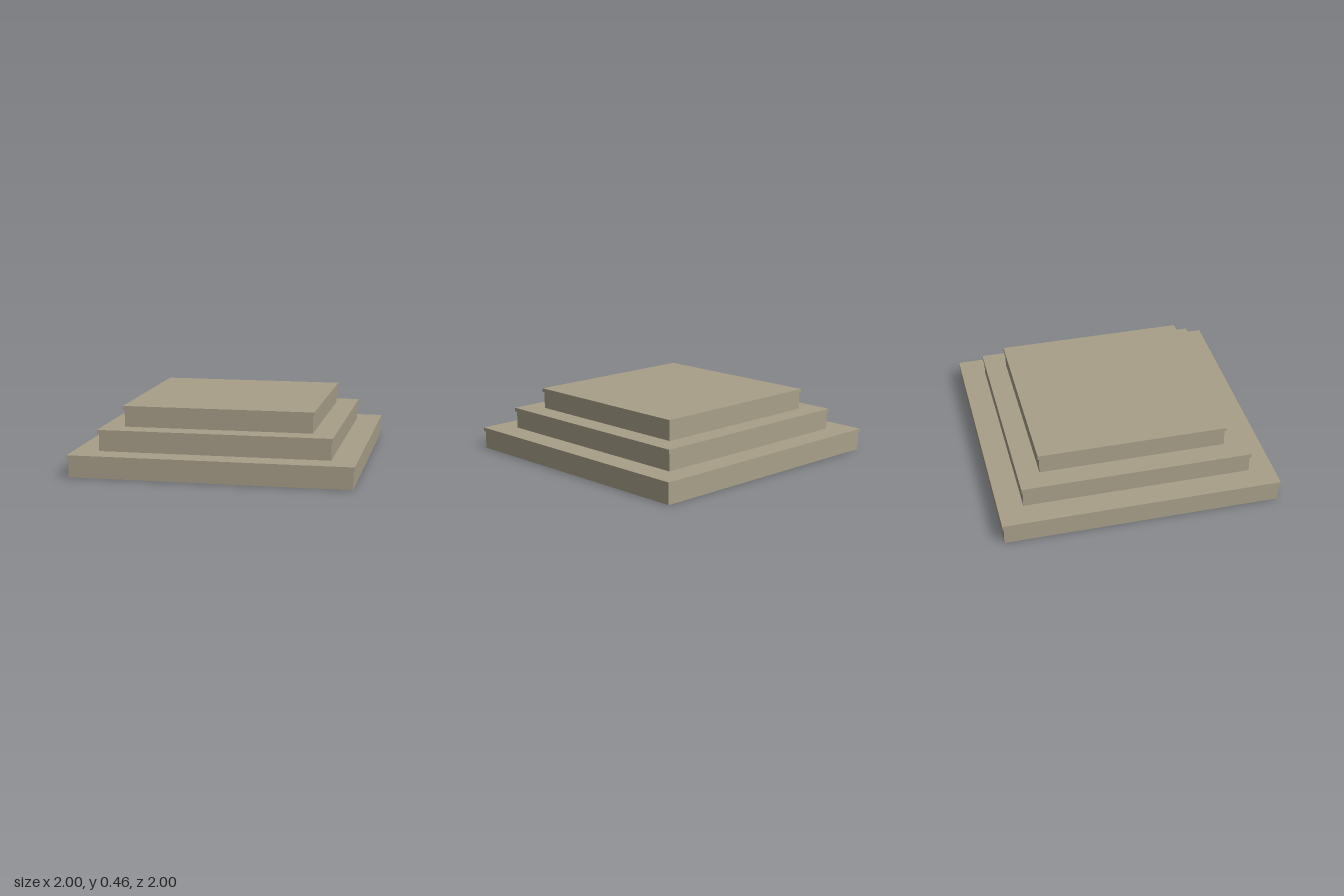
import * as THREE from 'three';

export function createModel() {
  const model = new THREE.Group();
  model.name = 'steppedPlinth';
  const stone = new THREE.MeshStandardMaterial({ color: 0xa89f89 });
  stone.name = 'sandy stone';

  // Square slab standing on height y
  function slab(name, halfWidth, y, height, parent) {
    const geometry = new THREE.BoxGeometry(halfWidth * 2, height, halfWidth * 2);
    const mesh = new THREE.Mesh(geometry, stone);
    mesh.name = name;
    mesh.position.y = y + height / 2;
    parent.add(mesh);
  }

  // Three steps, each a block with a thin overhanging tread
  const stepHeight = 0.153;
  const treadHeight = 0.028;
  const steps = [
    { name: 'lowerStep', half: 1, bottom: 0, top: 0.158 },
    { name: 'middleStep', half: 0.83, bottom: 0.158, top: 0.158 + stepHeight },
    { name: 'upperStep', half: 0.682, bottom: 0.158 + stepHeight, top: 0.158 + 2 * stepHeight - 0.003 },
  ];
  for (const { name, half, bottom, top } of steps) {
    const step = new THREE.Group();
    step.name = name;
    slab(name + 'Block', half - 0.01, bottom, top - treadHeight - bottom, step);
    slab(name + 'Tread', half, top - treadHeight, treadHeight, step);
    model.add(step);
  }
  return model;
}
